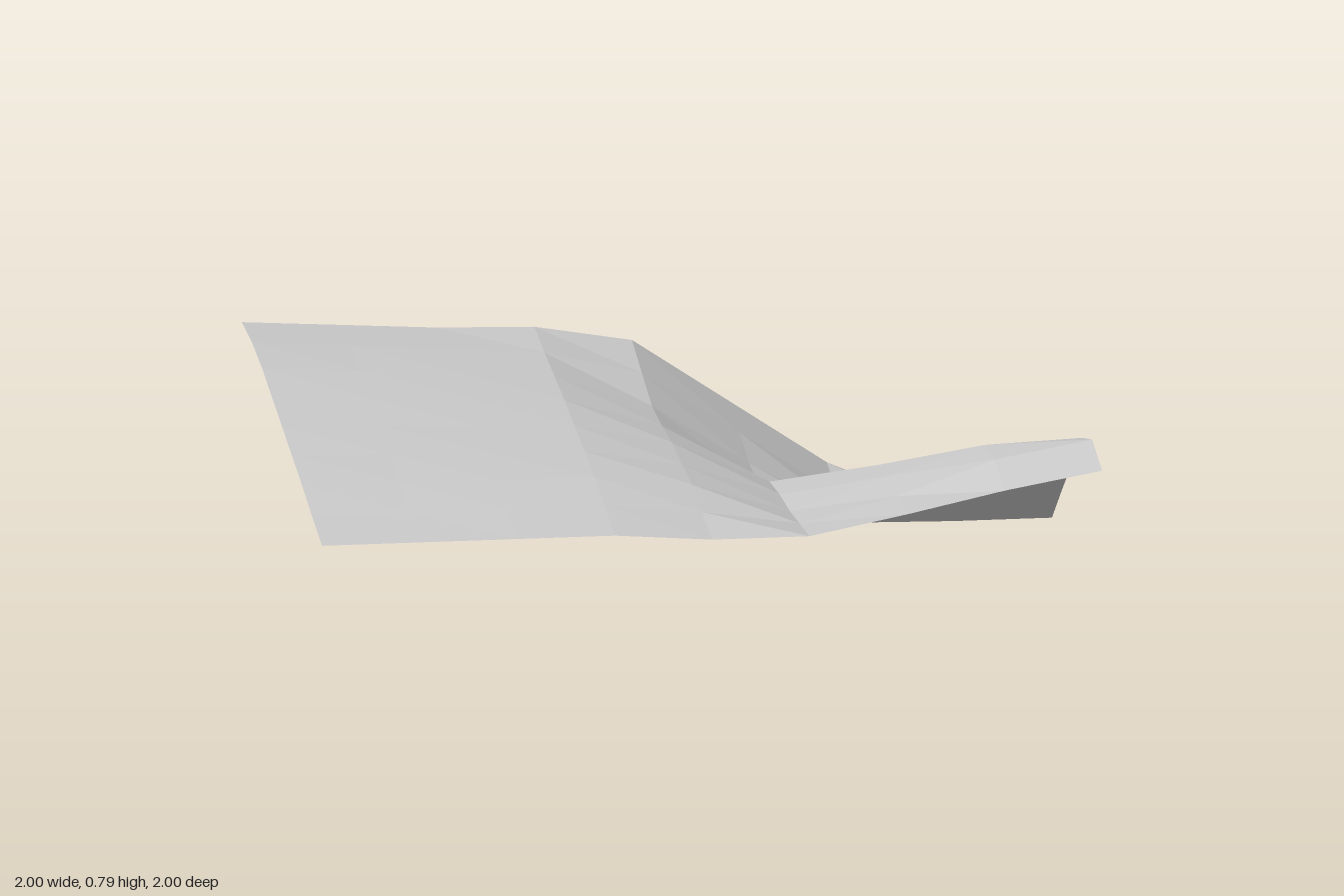
import * as THREE from 'three';

// Height profiles running back (z = -1) to front (z = 1), from x = -1 to x = 1.
// Gaps between listed x positions are filled by blending neighbouring profiles.
const PROFILES = [
  [-1, [0.55, 0.585, 0.605, 0.615, 0.625, 0.635, 0.645, 0.65, 0.66]],
  [-0.5, [0.517, 0.55, 0.575, 0.595, 0.61, 0.627, 0.643, 0.652, 0.66]],
  [-0.25, [0.51, 0.53, 0.555, 0.58, 0.60, 0.62, 0.64, 0.65, 0.66]],
  [0, [0.465, 0.465, 0.465, 0.50, 0.545, 0.575, 0.61, 0.625, 0.64]],
  [0.25, [0.29, 0.295, 0.30, 0.325, 0.43, 0.485, 0.53, 0.585, 0.64]],
  [0.5, [0.115, 0.12, 0.155, 0.22, 0.385, 0.555, 0.615, 0.65, 0.69]],
  [0.75, [0, 0.06, 0.13, 0.215, 0.38, 0.545, 0.69, 0.74, 0.745]],
  [1, [0, 0.06, 0.125, 0.215, 0.38, 0.54, 0.70, 0.785, 0.79]],
];
const CELLS = 8;

function heightAt(x, row) {
  let i = 0;
  while (i < PROFILES.length - 2 && x > PROFILES[i + 1][0]) i++;
  const [x0, a] = PROFILES[i];
  const [x1, b] = PROFILES[i + 1];
  return THREE.MathUtils.lerp(a[row], b[row], (x - x0) / (x1 - x0));
}

// Grid of square cells, each split from its back left to its front right corner
function terrainGeometry() {
  const positions = [];
  const indices = [];
  const n = CELLS + 1;
  for (let row = 0; row < n; row++) {
    for (let col = 0; col < n; col++) {
      const x = -1 + (2 * col) / CELLS;
      positions.push(x, heightAt(x, row), -1 + (2 * row) / CELLS);
    }
  }
  for (let row = 0; row < CELLS; row++) {
    for (let col = 0; col < CELLS; col++) {
      const a = row * n + col;
      const b = a + n;
      indices.push(a, b, b + 1, a, b + 1, a + 1);
    }
  }
  const geometry = new THREE.BufferGeometry();
  geometry.setAttribute('position', new THREE.Float32BufferAttribute(positions, 3));
  geometry.setIndex(indices);
  const faceted = geometry.toNonIndexed();
  faceted.computeVertexNormals();
  return faceted;
}

export function createModel() {
  const group = new THREE.Group();
  group.name = 'terrainTile';

  const stone = new THREE.MeshStandardMaterial({
    color: 0xcccccc, flatShading: true, side: THREE.DoubleSide,
  });
  stone.name = 'light grey';

  const ground = new THREE.Mesh(terrainGeometry(), stone);
  ground.name = 'groundSurface';
  group.add(ground);
  return group;
}
